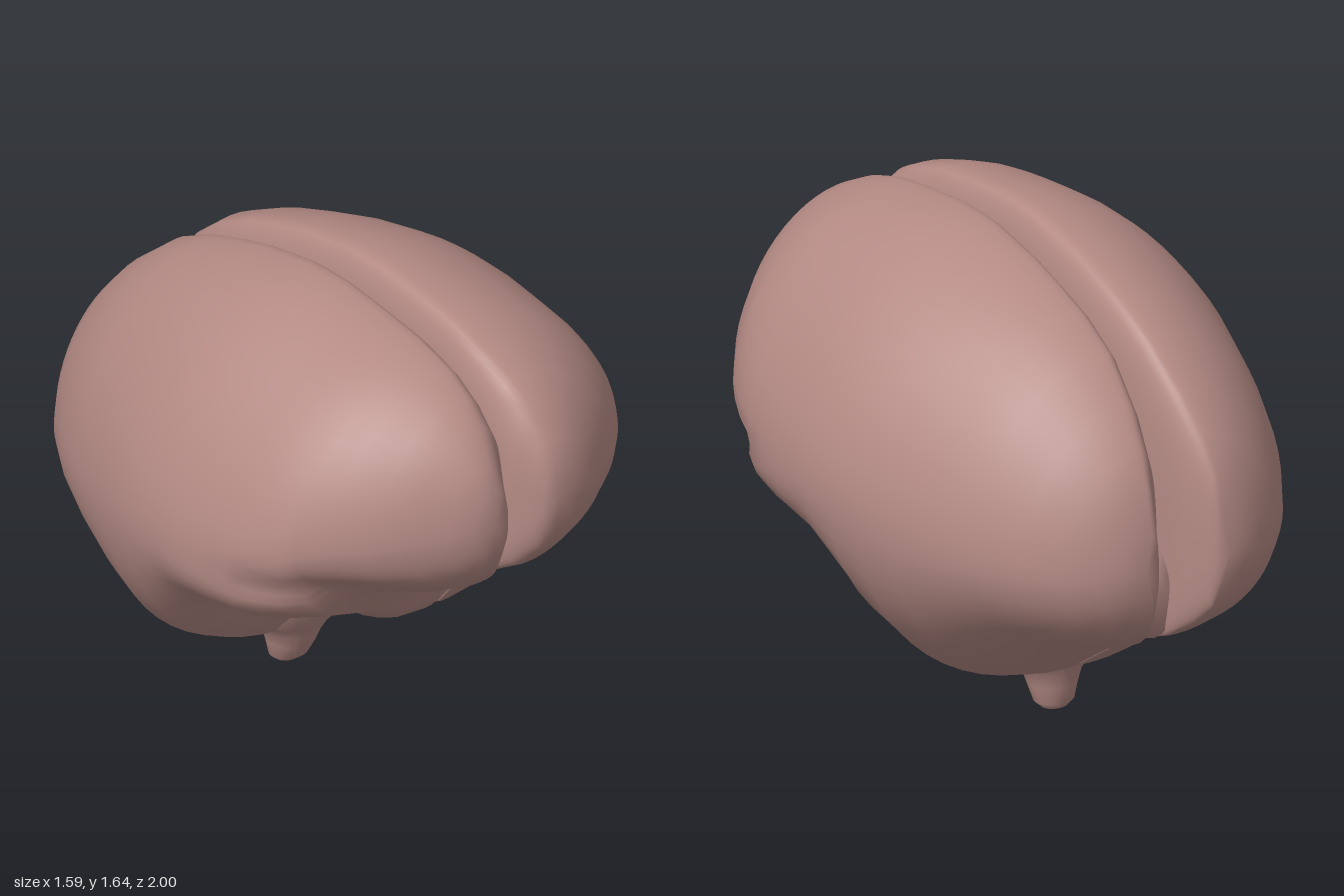
import * as THREE from 'three';

// Cross-sections from back to front: z, crest height, base height, half width, height of widest point
const rows = [
  [-0.99, 0.9, 0.66, 0.24, 0.77], [-0.96, 1.05, 0.58, 0.31, 0.77], [-0.9, 1.16, 0.51, 0.41, 0.77],
  [-0.8, 1.28, 0.44, 0.5, 0.78], [-0.65, 1.41, 0.385, 0.595, 0.79], [-0.5, 1.49, 0.29, 0.66, 0.8],
  [-0.35, 1.545, 0.19, 0.71, 0.82], [-0.22, 1.585, 0.14, 0.75, 0.85], [-0.1, 1.61, 0.2, 0.775, 0.87],
  [0, 1.63, 0.34, 0.787, 0.88], [0.08, 1.635, 0.44, 0.79, 0.89], [0.18, 1.638, 0.475, 0.79, 0.89],
  [0.28, 1.63, 0.48, 0.78, 0.9], [0.38, 1.62, 0.49, 0.765, 0.92], [0.46, 1.61, 0.52, 0.745, 0.95],
  [0.53, 1.6, 0.56, 0.715, 0.98], [0.585, 1.585, 0.63, 0.685, 1.01], [0.62, 1.575, 0.74, 0.66, 1.03],
  [0.7, 1.55, 0.775, 0.6, 1.06], [0.8, 1.5, 0.805, 0.505, 1.08], [0.88, 1.435, 0.85, 0.4, 1.1],
  [0.95, 1.34, 0.93, 0.295, 1.11], [0.985, 1.25, 1.01, 0.215, 1.12],
];

// Skin a list of equal rings (ordered back to front), closing both ends at pole points
function loft(rings, backPole, frontPole, flip, material, name) {
  const n = rings[0].length, pos = [], idx = [];
  const tri = (a, b, c) => (flip ? idx.push(a, c, b) : idx.push(a, b, c));
  rings.forEach((r) => r.forEach((p) => pos.push(...p)));
  const back = rings.length * n, front = back + 1;
  pos.push(...backPole, ...frontPole);
  for (let j = 0; j < n; j++) {
    const k = (j + 1) % n, last = (rings.length - 1) * n;
    for (let i = 0; i < rings.length - 1; i++) {
      const a = i * n + j, b = i * n + k;
      tri(a, b, a + n);
      tri(b, b + n, a + n);
    }
    tri(back, k, j);
    tri(front, last + j, last + k);
  }
  const g = new THREE.BufferGeometry();
  g.setAttribute('position', new THREE.Float32BufferAttribute(pos, 3));
  g.setIndex(idx);
  g.computeVertexNormals();
  const mesh = new THREE.Mesh(g, material);
  mesh.name = name;
  return mesh;
}

const bump = (v, centre, width) => Math.exp(-(((v - centre) / width) ** 2));
const smooth = THREE.MathUtils.smoothstep;

// One half: rounded outside, boxy along the central fissure
function hemisphere(side, material, name) {
  const N = 56;
  const rings = rows.map(([z, top, base, w, mid]) => {
    const tip = smooth(Math.abs(z), 0.65, 1);
    const under = smooth(z, -0.05, 0.2) * (1 - smooth(z, 0.5, 0.62));
    const gap = 0.004 + 0.035 * smooth(-z, 0.5, 0.9) + 0.07 * smooth(Math.abs(z), 0.85, 1);
    const halfWidth = w + (side > 0 ? 0.015 : -0.005);
    const ring = [];
    for (let j = 0; j < N; j++) {
      const a = (j / N) * Math.PI * 2, c = Math.cos(a), s = Math.sin(a);
      const low = s < 0;
      const crest = low ? 0.05 + 0.08 * tip : 0.11 + 0.03 * tip;
      const inner = low ? 9 - 6.5 * tip : 3.4 - 0.9 * tip;
      const outer = low ? 1.95 + 0.6 * under : 1.8;
      const n = c < 0 ? inner : outer;
      const px = Math.abs(c) ** (2 / n), py = Math.abs(s) ** (2 / n);
      let x = c > 0 ? crest + (halfWidth - crest) * px : crest - (crest - gap) * px;
      let y = mid + (low ? base - mid : top - mid) * py;
      // side lobes sit higher than the bulge in the middle of the underside
      if (low) y += 0.1 * under * py * smooth(x, 0.12, 0.32);
      // groove between the front lobe and the lower side lobe
      if (c > 0) x *= 1 - 0.06 * bump(y, 0.87, 0.05) * smooth(z, 0.3, 0.55);
      ring.push([side * x - 0.015, y, z]);
    }
    return ring;
  });
  return loft(rings, [side * 0.16 - 0.015, 0.77, -1], [side * 0.13 - 0.015, 1.13, 1], side < 0, material, name);
}

// Narrow middle mass that forms the floor of the fissure
function core(material) {
  const rings = rows.filter((r) => r[0] > -0.85 && r[0] < 0.85).map(([z, top, base]) => {
    const hi = top - 0.1 - 0.2 * smooth(z, 0.3, 0.8) - 0.45 * smooth(-z, 0.3, 0.8), lo = base + 0.005;
    return Array.from({ length: 20 }, (_, j) => {
      const a = (j / 20) * Math.PI * 2;
      return [0.09 * Math.cos(a) - 0.015, (hi + lo) / 2 + ((hi - lo) / 2) * Math.sin(a), z];
    });
  });
  return loft(rings, [-0.015, 0.65, -0.85], [-0.015, 1.02, 0.85], false, material, 'middleCore');
}

// Stem rings: height, centre z, half width, half depth
function stem(material) {
  const levels = [
    [0.008, -0.215, 0.045, 0.035], [0.03, -0.21, 0.07, 0.058], [0.09, -0.2, 0.085, 0.083],
    [0.14, -0.195, 0.1, 0.1], [0.18, -0.195, 0.135, 0.12], [0.22, -0.185, 0.19, 0.145],
    [0.3, -0.165, 0.2, 0.165], [0.4, -0.12, 0.19, 0.17], [0.5, -0.08, 0.15, 0.16],
  ];
  const rings = levels.map(([y, z, rx, rz]) => Array.from({ length: 24 }, (_, j) => {
    const a = (j / 24) * Math.PI * 2;
    return [rx * Math.cos(a) - 0.02, y, z - rz * Math.sin(a)];
  }));
  return loft(rings, [-0.02, 0, -0.215], [-0.02, 0.55, -0.08], false, material, 'stem');
}

export function createModel() {
  const pink = new THREE.MeshStandardMaterial({ color: 0xb48a84 });
  pink.name = 'dusty pink';
  const group = new THREE.Group();
  group.name = 'brain';
  group.add(
    hemisphere(1, pink, 'leftHemisphere'),
    hemisphere(-1, pink, 'rightHemisphere'),
    core(pink),
    stem(pink),
  );
  return group;
}
